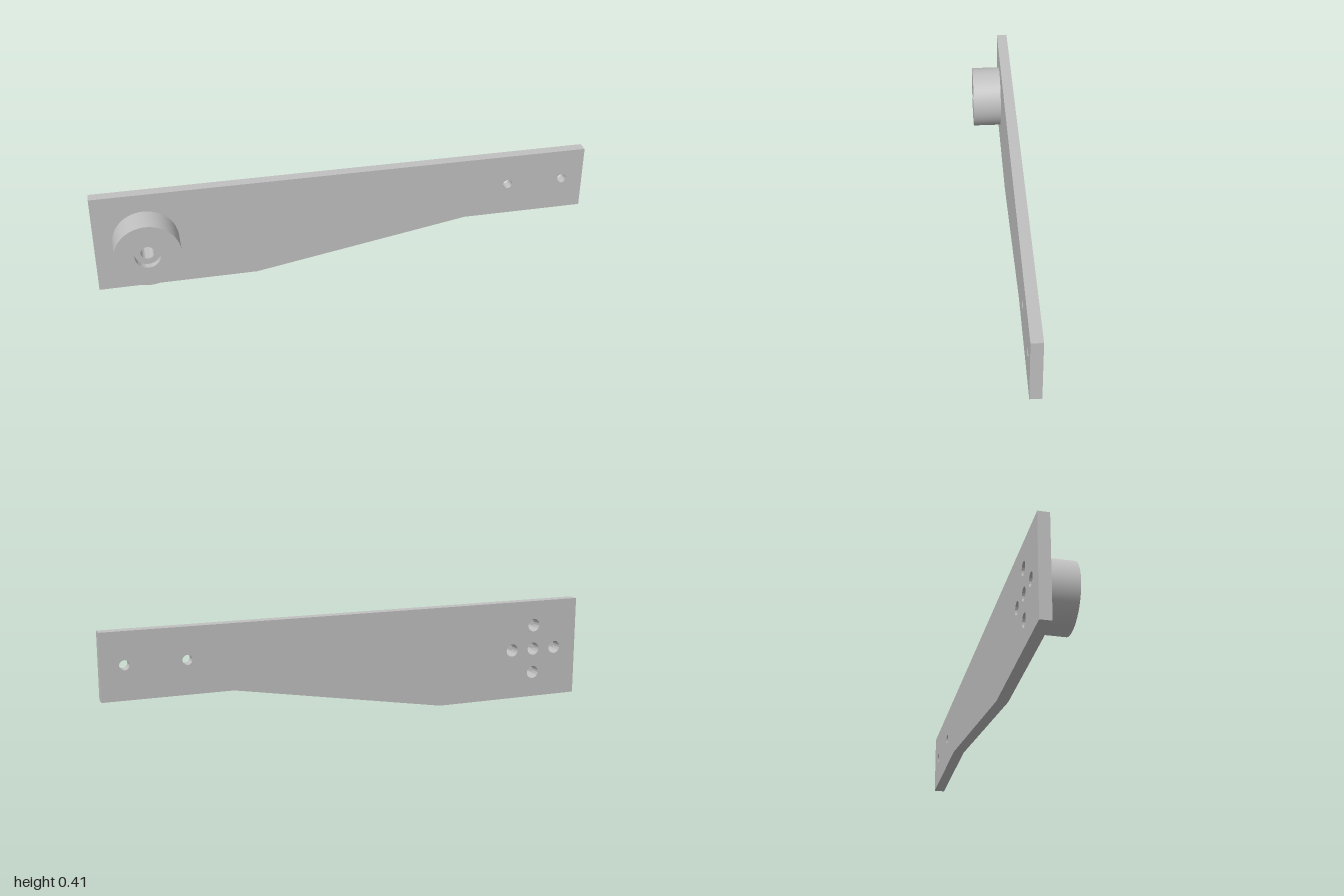
import * as THREE from 'three';
import { toCreasedNormals } from 'three/addons/utils/BufferGeometryUtils.js';

const BACK = -0.082, FACE = -0.038, FRONT = 0.082;
const HUB = [-0.8, 0.204];
const HOLE = 0.026;
// Four mounting holes around the hub centre
const BOLTS = [[0.1, 0], [-0.1, 0], [0, 0.1], [0, -0.1]].map(([x, y]) => [HUB[0] + x, HUB[1] + y]);

export function createModel() {
  const group = new THREE.Group();
  const grey = new THREE.MeshStandardMaterial({ color: 0xc0c0c0 });
  grey.name = 'plain grey';

  const add = (name, geometry, x = 0, y = 0, z = 0) => {
    const mesh = new THREE.Mesh(toCreasedNormals(geometry, 0.6), grey);
    mesh.name = name;
    mesh.position.set(x, y, z);
    group.add(mesh);
  };
  // Turned part with its axis along z; profile points are [radius, z]
  const turned = (points, segments) => new THREE.LatheGeometry(
    points.map(([r, z]) => new THREE.Vector2(r, z)), segments).rotateX(Math.PI / 2);

  // Tapered arm plate with drilled holes
  const outline = new THREE.Shape([
    [-1, 0], [-0.37, 0], [0.5, 0.147], [1, 0.147], [1, 0.407], [-1, 0.407],
  ].map(([x, y]) => new THREE.Vector2(x, y)));
  const drill = ([x, y], r) => outline.holes.push(new THREE.Path().absarc(x, y, r, 0, Math.PI * 2, true));
  [HUB, ...BOLTS].forEach((p) => drill(p, HOLE));
  [[0.677, 0.28], [0.911, 0.28]].forEach((p) => drill(p, 0.019));
  add('armPlate', new THREE.ExtrudeGeometry(outline, {
    depth: FACE - BACK, bevelEnabled: false, curveSegments: 32,
  }), 0, 0, BACK);

  // Round boss with a counterbored through hole
  add('boss', turned([
    [0.13, FACE], [0.13, FRONT], [0.05, FRONT], [0.05, FRONT - 0.027], [HOLE, FRONT - 0.027], [HOLE, FACE],
  ], 64), ...HUB);

  // Blind ends of the mounting holes inside the boss
  BOLTS.forEach(([x, y], i) => add('blindHole' + (i + 1),
    turned([[0, 0.03], [HOLE, 0.03], [HOLE, FACE]], 32), x, y));

  return group;
}
